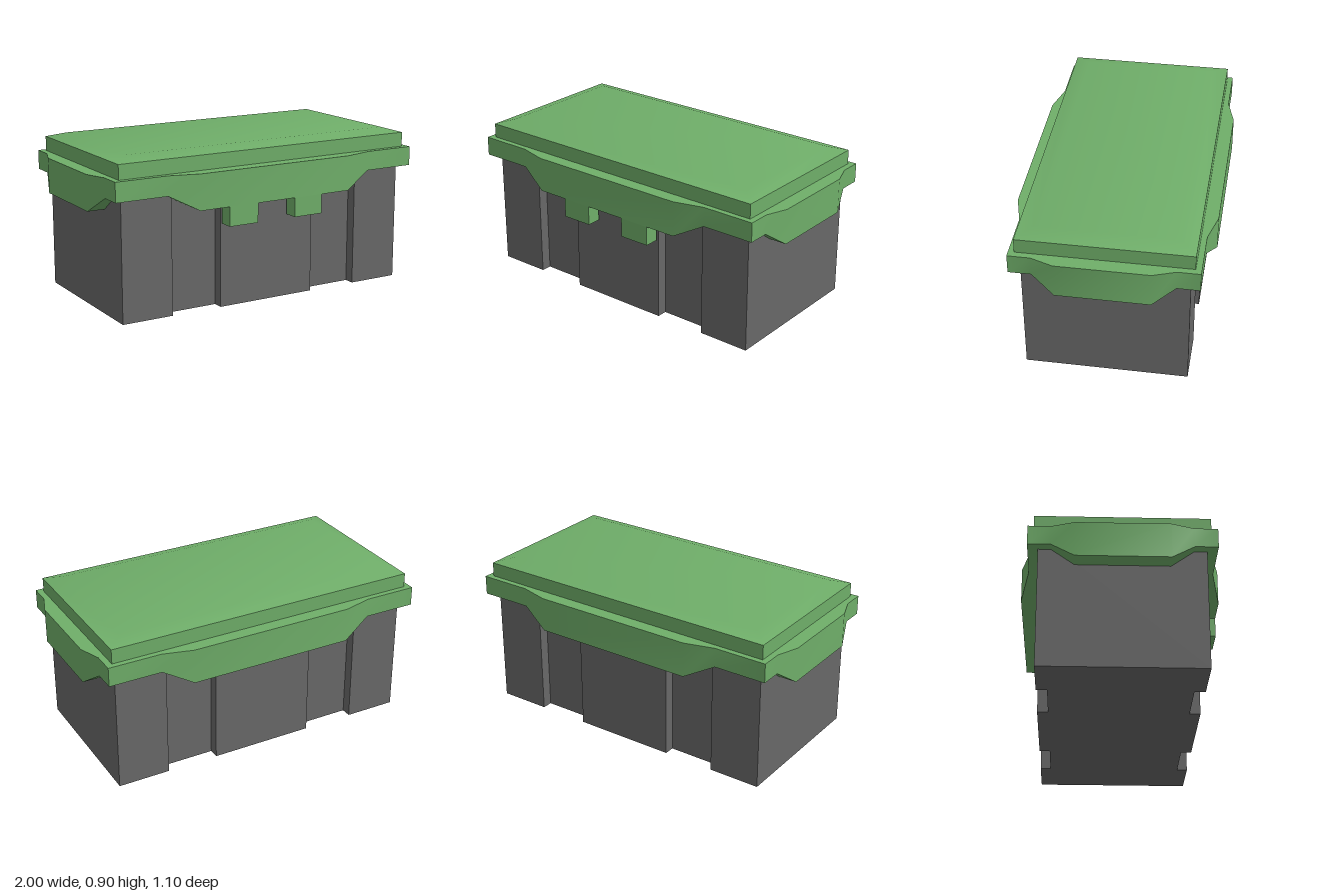
import * as THREE from 'three';
import { toCreasedNormals } from 'three/addons/utils/BufferGeometryUtils.js';

const CREASE = 0.7;

// Skin a stack of equal-length rings (counter-clockwise from above), top ring capped.
function loft(rings) {
  const n = rings[0].length, index = [];
  for (let r = 0; r < rings.length - 1; r++) {
    for (let i = 0; i < n; i++) {
      const j = (i + 1) % n, a = r * n, b = a + n;
      index.push(a + i, a + j, b + j, a + i, b + j, b + i);
    }
  }
  const top = (rings.length - 1) * n;
  for (let i = 1; i < n - 1; i++) index.push(top, top + i, top + i + 1);
  const geo = new THREE.BufferGeometry();
  geo.setAttribute('position', new THREE.Float32BufferAttribute(rings.flat(2), 3));
  geo.setIndex(index);
  return toCreasedNormals(geo, CREASE);
}

const rectRing = (x, z, y) => [[-x, y, z], [x, y, z], [x, y, -z], [-x, y, -z]];

export function createModel() {
  const group = new THREE.Group();
  const bodyMat = new THREE.MeshStandardMaterial({ color: 0x686868 });
  const lidMat = new THREE.MeshStandardMaterial({ color: 0x6fae69 });
  const add = (name, geo, mat) => {
    const mesh = new THREE.Mesh(geo, mat);
    mesh.name = name;
    group.add(mesh);
    return mesh;
  };

  // Box body with two full-height grooves on the front and two on the back
  const W = 0.9, D = 0.45, G = 0.39;
  const edge = [[-W, D], [-0.6, D], [-0.6, G], [-0.3, G], [-0.3, D],
    [0.3, D], [0.3, G], [0.6, G], [0.6, D], [W, D]];
  const plan = [...edge, ...edge.map(([x, z]) => [-x, -z])].map(([x, z]) => new THREE.Vector2(x, z));
  const body = new THREE.ExtrudeGeometry(new THREE.Shape(plan), { depth: 0.78, bevelEnabled: false });
  body.rotateX(-Math.PI / 2);
  add('body', body, bodyMat);

  // Lid rim: bulges out and hangs lower along the middle of each side
  const half = [
    [-0.955, 0.505, 0.68], [-0.65, 0.505, 0.68], [-0.48, 0.55, 0.59], [0.48, 0.55, 0.59], [0.65, 0.505, 0.68],
    [0.955, 0.505, 0.68], [0.955, 0.38, 0.68], [1, 0.255, 0.59], [1, -0.255, 0.59], [0.955, -0.38, 0.68],
  ];
  const outline = [...half, ...half.map(([x, z, y]) => [-x, -z, y])];
  const inset = (x, z, y) => [THREE.MathUtils.clamp(x, -0.88, 0.88), y, THREE.MathUtils.clamp(z, -0.385, 0.385)];
  add('lidRim', loft([
    outline.map(([x, z, y]) => inset(x, z, y)),
    outline.map(([x, z, y]) => [x, y, z]),
    outline.map(([x, z]) => [x, 0.79, z]),
    outline.map(([x, z]) => inset(x, z, 0.79)),
  ]), lidMat);

  // Raised lid top with a shallow bevel
  add('lidTop', loft([
    rectRing(0.92, 0.473, 0.785),
    rectRing(0.92, 0.473, 0.873),
    rectRing(0.83, 0.385, 0.9),
  ]), lidMat);

  // Two latch tabs under the front of the rim
  for (const s of [-1, 1]) {
    const tab = add(s > 0 ? 'leftLatch' : 'rightLatch', new THREE.BoxGeometry(0.18, 0.11, 0.083), lidMat);
    tab.position.set(s * 0.21, 0.535, 0.5085);
  }
  return group;
}
